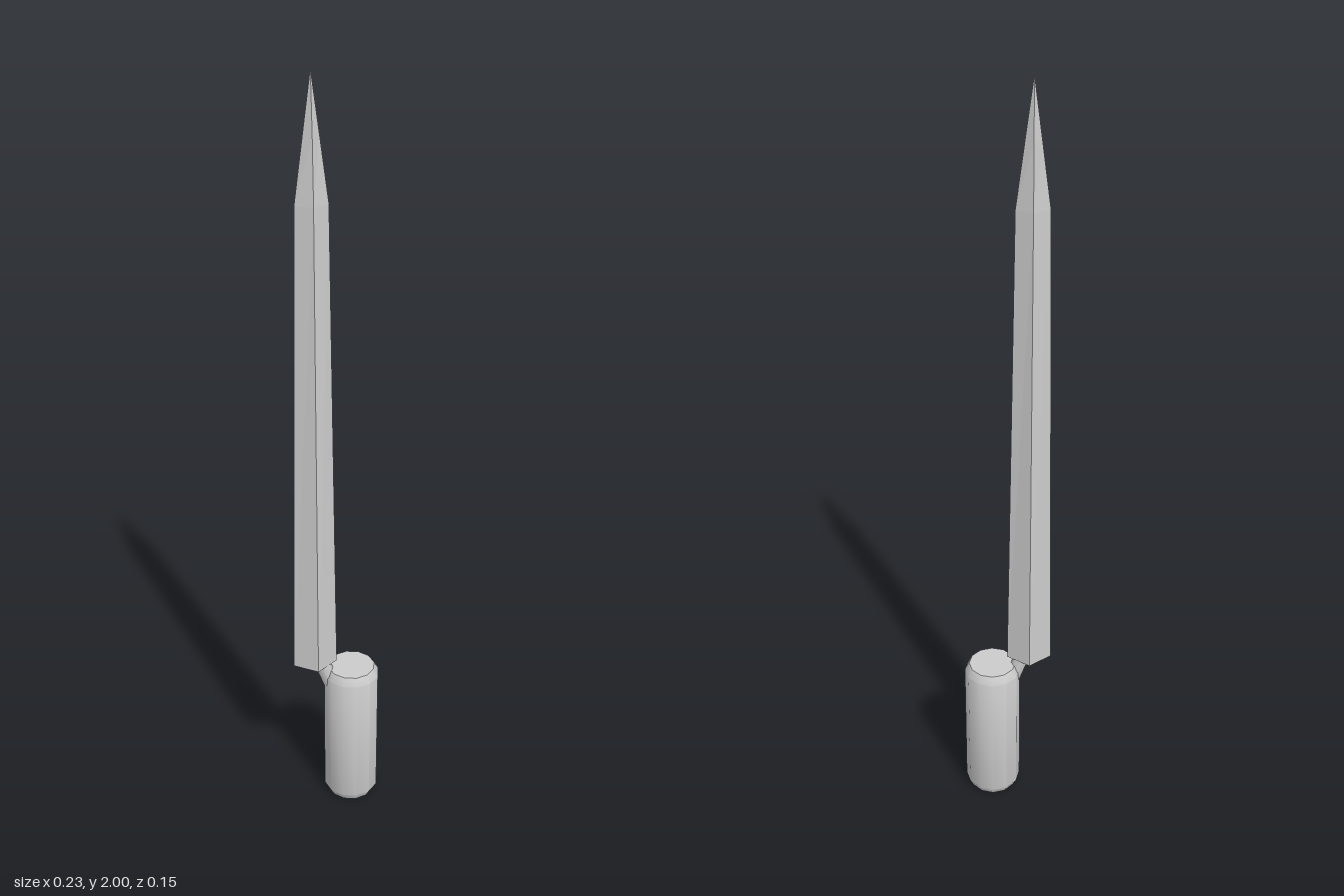
import * as THREE from 'three';
import { toCreasedNormals } from 'three/addons/utils/BufferGeometryUtils.js';

const grey = (flatShading = false) => new THREE.MeshStandardMaterial({ color: 0xcccccc, flatShading });

// Loft of diamond sections [y, half width, half depth], closed at both ends
function diamondLoft(sections) {
  const pos = [], index = [];
  for (const [y, w, d] of sections) pos.push(w, y, 0, 0, y, d, -w, y, 0, 0, y, -d);
  for (let s = 0; s < sections.length - 1; s++) {
    for (let i = 0; i < 4; i++) {
      const a = s * 4 + i, b = s * 4 + (i + 1) % 4;
      index.push(a, a + 4, b, b, a + 4, b + 4);
    }
  }
  const t = (sections.length - 1) * 4;
  index.push(0, 1, 2, 0, 2, 3, t, t + 2, t + 1, t, t + 3, t + 2);
  const g = new THREE.BufferGeometry();
  g.setAttribute('position', new THREE.Float32BufferAttribute(pos, 3));
  g.setIndex(index);
  const flat = g.toNonIndexed();
  flat.computeVertexNormals();
  return flat;
}

export function createModel() {
  const group = new THREE.Group();
  const add = (name, geometry, material) => {
    const mesh = new THREE.Mesh(geometry, material);
    mesh.name = name;
    group.add(mesh);
    return mesh;
  };

  // Twelve-sided handle with bevelled ends
  const profile = [[0, 0], [0.062, 0], [0.074, 0.022], [0.074, 0.393], [0.062, 0.415], [0, 0.415]]
    .map(([r, y]) => new THREE.Vector2(r, y));
  const handle = add('handle', toCreasedNormals(new THREE.LatheGeometry(profile, 12), 0.55), grey());
  handle.position.x = 0.041;

  // Long diamond-section blade, offset to the side of the handle
  const blade = add('blade', diamondLoft([
    [0.435, 0.058, 0.041],
    [1.7, 0.04, 0.024],
    [1.86, 0.019, 0.015],
    [2, 0.0005, 0.0005],
  ]), grey(true));
  blade.position.set(-0.057, 0, -0.001);

  // Slanted pin joining the blade to the handle
  const from = new THREE.Vector3(0, 0.33, 0), to = new THREE.Vector3(-0.045, 0.45, 0);
  const axis = to.clone().sub(from);
  const pin = add('connectingPin', new THREE.CylinderGeometry(0.021, 0.021, axis.length(), 8), grey());
  pin.position.copy(from).add(to).multiplyScalar(0.5);
  pin.quaternion.setFromUnitVectors(new THREE.Vector3(0, 1, 0), axis.normalize());

  return group;
}
